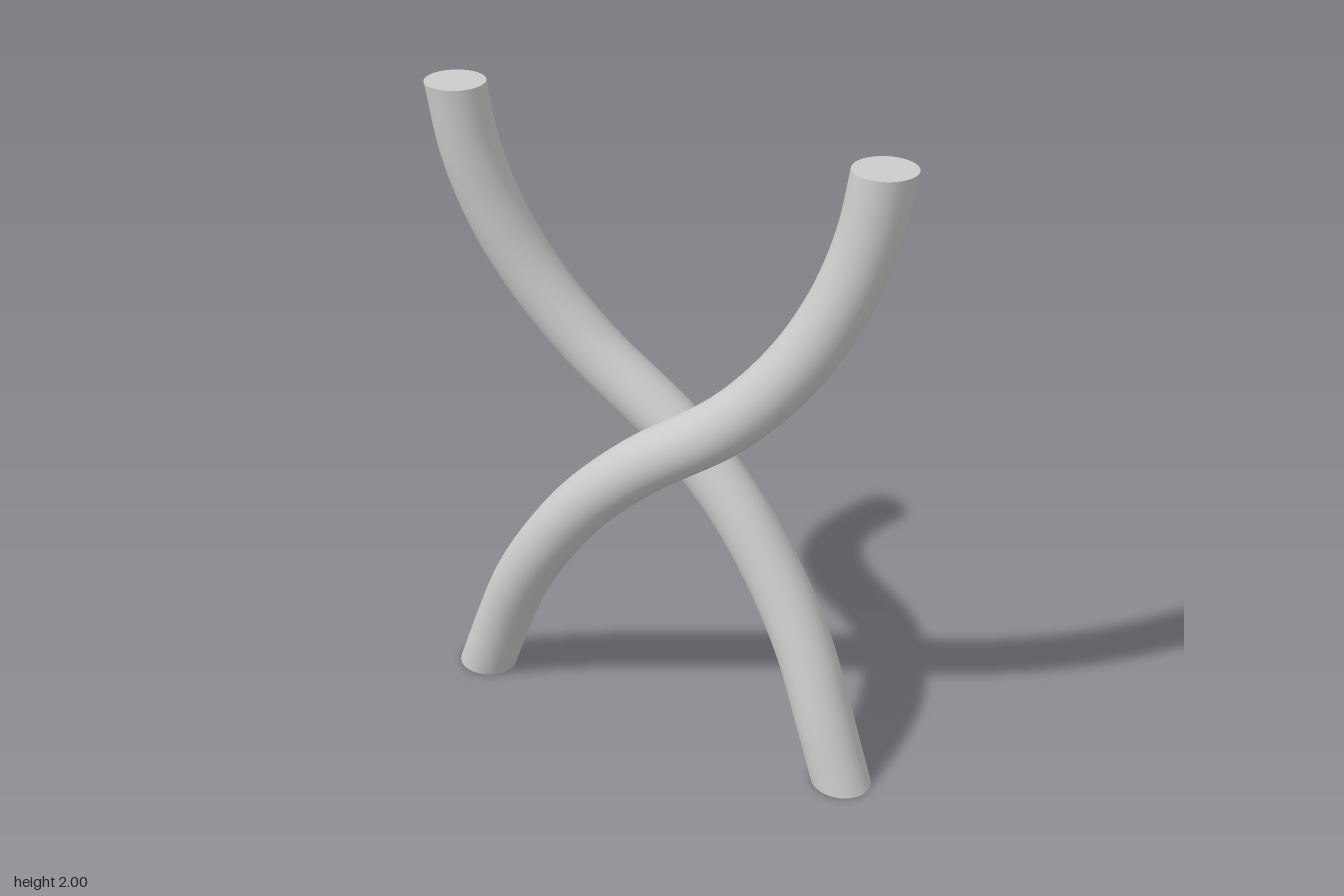
import * as THREE from 'three';

const RADIUS = 0.088, STEPS = 64, SIDES = 32;
const HEIGHT = 2;
const material = new THREE.MeshStandardMaterial({ color: 0xcccccc });

// Slide an end ring along the rod until it lies flat at height y; return its outline
function levelRing(position, ring, tangent, y) {
  const outline = [];
  const p = new THREE.Vector3();
  for (let i = 0; i <= SIDES; i++) {
    const index = ring * (SIDES + 1) + i;
    p.fromBufferAttribute(position, index);
    p.addScaledVector(tangent, (y - p.y) / tangent.y);
    position.setXYZ(index, p.x, y, p.z);
    if (i < SIDES) outline.push(p.clone());
  }
  return outline;
}

// Flat cap filling a level outline, facing up (1) or down (-1)
function endCap(outline, y, facing) {
  const shape = new THREE.Shape(outline.map(p => new THREE.Vector2(p.x, -facing * p.z)));
  const geometry = new THREE.ShapeGeometry(shape).rotateX(-facing * Math.PI / 2).translate(0, y, 0);
  return new THREE.Mesh(geometry, material);
}

function bentRod(name, points) {
  const curve = new THREE.CatmullRomCurve3(points.map(p => new THREE.Vector3(...p)), false, 'centripetal');
  const tube = new THREE.TubeGeometry(curve, STEPS, RADIUS, SIDES);
  const foot = levelRing(tube.attributes.position, 0, curve.getTangentAt(0), 0);
  const top = levelRing(tube.attributes.position, STEPS, curve.getTangentAt(1), HEIGHT);

  const rod = new THREE.Group();
  rod.name = name;
  const body = new THREE.Mesh(tube, material);
  body.name = name + 'Body';
  const footCap = endCap(foot, 0, -1);
  footCap.name = name + 'FootCap';
  const topCap = endCap(top, HEIGHT, 1);
  topCap.name = name + 'TopCap';
  rod.add(body, footCap, topCap);
  return rod;
}

export function createModel() {
  const model = new THREE.Group();
  model.name = 'crossedRods';

  // Centre line of the front rod, from foot to top
  const path = [
    [-0.648, 0, 0], [-0.565, 0.2, 0.022], [-0.47, 0.4, 0.056], [-0.345, 0.6, 0.088],
    [-0.19, 0.8, 0.11], [0, 0.983, 0.118], [0.285, 1.2, 0.104], [0.46, 1.4, 0.074],
    [0.57, 1.6, 0.04], [0.635, 1.8, 0.014], [0.667, 2, 0],
  ];
  model.add(bentRod('frontRod', path));

  // The back rod is the same bend turned half round, its foot a touch further in
  const backPath = path.map(([x, y, z]) => [-x - 0.015 * Math.max(0, 1 - y / 0.5), y, -z]);
  model.add(bentRod('backRod', backPath));
  return model;
}
